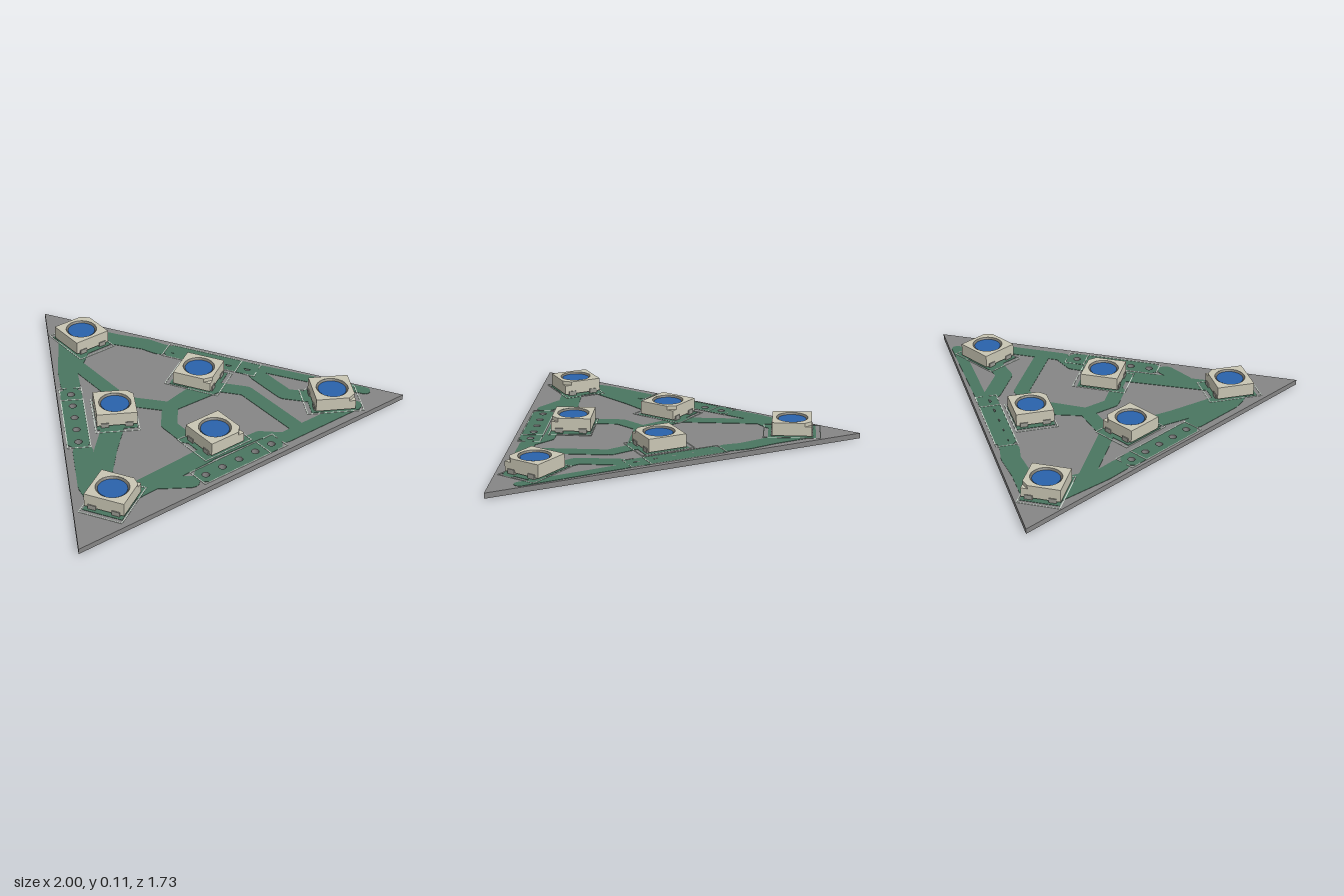
import * as THREE from 'three';

const BOARD_LOW = 0.003, BOARD_TOP = 0.03, DEG = Math.PI / 180;
const mat = (color) => new THREE.MeshStandardMaterial({ color, flatShading: true });
const boardMat = mat(0x858585);
const greenMat = mat(0x4a7560);
const silkMat = mat(0xc4cfc6);
const bodyMat = mat(0xc9c6b4);
const rimMat = mat(0x75736a);
const blueMat = mat(0x2a62ab);
const padMat = mat(0x9a9a92);
rimMat.side = THREE.DoubleSide;

function add(parent, geometry, material, name, x = 0, y = 0, z = 0) {
  const mesh = new THREE.Mesh(geometry, material);
  mesh.name = name;
  mesh.position.set(x, y, z);
  parent.add(mesh);
  return mesh;
}

function group(parent, name, x = 0, z = 0, angle = 0) {
  const g = new THREE.Group();
  g.name = name;
  g.position.set(x, 0, z);
  g.rotation.y = angle * DEG;
  parent.add(g);
  return g;
}

// Outline given as [x, z] corners, extruded upwards, with round holes [x, z]
function plate(corners, height, holes = [], radius = 0.019) {
  const shape = new THREE.Shape(corners.map(([x, z]) => new THREE.Vector2(x, -z)));
  for (const [x, z] of holes) {
    shape.holes.push(new THREE.Path().absarc(x, -z, radius, 0, Math.PI * 2, true));
  }
  return new THREE.ExtrudeGeometry(shape, { depth: height, bevelEnabled: false, curveSegments: 24 }).rotateX(-Math.PI / 2);
}

// Straight flat bars joined by round corners along [x, z] points
function strip(parent, points, width, y, height, material, name) {
  points.forEach(([x, z], i) => {
    add(parent, new THREE.CylinderGeometry(width / 2, width / 2, height, 12), material, name + 'Corner', x, y, z);
    if (i === 0) return;
    const [px, pz] = points[i - 1];
    const bar = add(parent, new THREE.BoxGeometry(Math.hypot(x - px, z - pz), height, width),
      material, name, (x + px) / 2, y, (z + pz) / 2);
    bar.rotation.y = -Math.atan2(z - pz, x - px);
  });
}

// Printed rectangle outline
function outline(parent, w, d, x = 0) {
  const a = w / 2, b = d / 2;
  strip(parent, [[x - a, -b], [x + a, -b], [x + a, b], [x - a, b], [x - a, -b]],
    0.005, BOARD_TOP + 0.0025, 0.002, silkMat, 'printedOutline');
}

// Square lamp with a cut corner, recessed round lens and four feet
function addLamp(parent, x, z, angle) {
  const lamp = group(parent, 'lamp', x, z, angle);
  const s = 0.1, cut = 0.065;
  add(lamp, plate([[-0.12, -0.1], [0.12, -0.1], [0.12, 0.1], [-0.12, 0.1]], 0.002), greenMat, 'lampFootprint', 0, BOARD_TOP, 0);
  outline(lamp, 0.285, 0.215);
  add(lamp, new THREE.BoxGeometry(2 * s, 0.048, 2 * s), bodyMat, 'lampBase', 0, 0.064, 0);
  const top = [[-s, -s], [s, -s], [s, cut], [cut, s], [-s, s]];
  add(lamp, plate(top, 0.019, [[0, 0]], 0.08), bodyMat, 'lampTop', 0, 0.088, 0);
  const rim = [[0.08, 0.107], [0.07, 0.096], [0.07, 0.088]].map(([r, y]) => new THREE.Vector2(r, y));
  add(lamp, new THREE.LatheGeometry(rim, 32), rimMat, 'lensRim');
  add(lamp, new THREE.CylinderGeometry(0.07, 0.07, 0.011, 32), blueMat, 'lens', 0, 0.0935, 0);
  for (const i of [-1, 1]) {
    for (const j of [-1, 1]) {
      add(lamp, new THREE.BoxGeometry(0.022, 0.024, 0.04), padMat, 'lampFoot', i * 0.094, 0.043, j * 0.06);
    }
  }
}

export function createModel() {
  const model = new THREE.Group();
  model.name = 'triangularLampBoard';

  // Rows of connector holes along each edge: centre and direction
  const rows = [[-0.005, 0.78, 0], [-0.433, 0.03, 60], [0.428, 0.035, -60]];
  const offsets = [-2, -1, 0, 1, 2].map((i) => i * 0.1015);
  const holes = rows.flatMap(([x, z, a]) => offsets.map((o) =>
    [x + o * Math.cos(a * DEG), z - o * Math.sin(a * DEG)]));

  // Board
  const corners = [[-1, 0.863], [1, 0.863], [0, -0.863]];
  add(model, plate(corners, BOARD_TOP - BOARD_LOW, holes), boardMat, 'board', 0, BOARD_LOW, 0);

  // Copper tracks: width, then [x, z] points
  const tracks = [
    [0.1, [[-0.06, -0.56], [-0.23, -0.32], [-0.29, -0.21]]],
    [0.08, [[-0.08, -0.42], [-0.155, -0.36], [-0.155, 0.06], [0, 0.24]]],
    [0.1, [[0.08, -0.52], [0.25, -0.29], [0.28, -0.21]]],
    [0.06, [[0.07, -0.6], [0.44, 0.02], [0.87, 0.72]]],
    [0.08, [[0.2, 0.2], [0, 0.24], [-0.1, 0.36], [-0.1, 0.5]]],
    [0.08, [[0, 0.24], [0.3, 0.25], [0.39, 0.36], [0.39, 0.77]]],
    [0.09, [[0.53, 0.29], [0.53, 0.5], [0.65, 0.64]]],
    [0.1, [[-0.56, 0.28], [-0.7, 0.52], [-0.72, 0.6]]],
    [0.11, [[-0.32, 0.2], [-0.46, 0.33], [-0.64, 0.52]]],
    [0.11, [[-0.6, 0.68], [-0.12, 0.66]]],
    [0.09, [[-0.42, 0.7], [-0.3, 0.78]]],
    [0.08, [[0.28, 0.78], [0.74, 0.78]]],
    [0.06, [[-0.12, 0.68], [0.2, 0.69], [0.3, 0.78]]],
  ];
  for (const [side, y] of [['top', BOARD_TOP + 0.001], ['bottom', BOARD_LOW - 0.0015]]) {
    const height = side === 'top' ? 0.002 : 0.003;
    const layer = group(model, side + 'Tracks');
    for (const [width, points] of tracks) strip(layer, points, width, y, height, greenMat, 'track');
    for (const [x, z, a] of rows) {
      const pads = group(layer, 'connectorPads', x, z, a);
      const outer = [[-0.25, -0.03], [-0.225, -0.055], [0.225, -0.055], [0.25, -0.03],
        [0.25, 0.03], [0.225, 0.055], [-0.225, 0.055], [-0.25, 0.03]];
      add(pads, plate(outer, height, offsets.map((o) => [o, 0])), greenMat, 'padStrip', 0, y - height / 2, 0);
    }
  }

  // Printed outlines around the connectors
  for (const [x, z, a] of rows) {
    const g = group(model, 'connectorOutline', x, z, a);
    outline(g, 0.405, 0.112, -0.05);
    for (const s of [-1, 1]) {
      strip(g, [[0.2, s * 0.056], [0.256, s * 0.056], [0.256, s * 0.02]],
        0.005, BOARD_TOP + 0.0025, 0.002, silkMat, 'firstPinMark');
    }
  }

  // Lamps: x, z, turn
  const lamps = [[0, 0.59, 0], [-0.67, 0.67, 30], [-0.26, 0.13, 60],
    [0, -0.52, 90], [0.27, 0.13, -60], [0.68, 0.68, -30]];
  for (const [x, z, angle] of lamps) addLamp(model, x, z, angle);

  return model;
}
